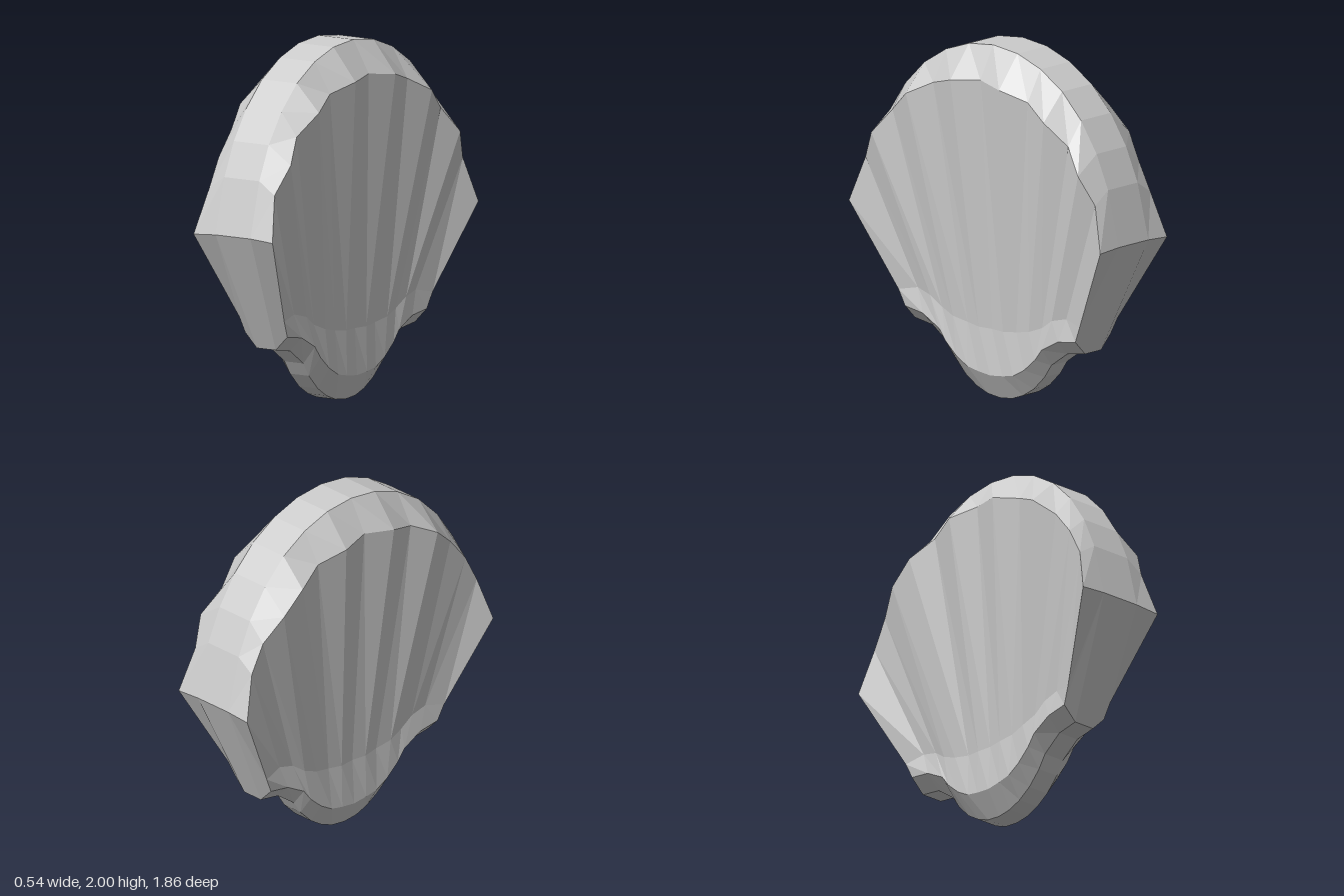
import * as THREE from 'three';

// Half of the fan, from the +z end to the middle; each row gives [z, y] of the
// outer rim, ribbed shoulder, lower band, hinge shoulder and hinge rim.
const HALF = [
  [[0.93, 1.01], [0.93, 1.0], [0.67, 0.52], [0.63, 0.43], [0.63, 0.35]],
  [[0.85, 1.32], [0.85, 1.25], [0.55, 0.545], [0.5, 0.41], [0.5, 0.33]],
  [[0.765, 1.51], [0.765, 1.41], [0.45, 0.52], [0.38, 0.345], [0.38, 0.245]],
  [[0.65, 1.68], [0.65, 1.55], [0.37, 0.465], [0.33, 0.28], [0.33, 0.17]],
  [[0.51, 1.82], [0.51, 1.67], [0.28, 0.43], [0.25, 0.21], [0.25, 0.09]],
  [[0.35, 1.92], [0.35, 1.75], [0.18, 0.41], [0.17, 0.165], [0.17, 0.04]],
  [[0.18, 1.98], [0.18, 1.8], [0.09, 0.4], [0.09, 0.15], [0.09, 0.01]],
  [[0, 2], [0, 1.82], [0, 0.4], [0, 0.14], [0, 0]],
];
const STATIONS = 15;

// Half thickness: the shoulder alternates between ridge and groove.
function halfWidth(station, k, side) {
  let ridge = station % 2 === 0;
  if (side < 0) {
    if (station === 2 || station === 12) ridge = false; // worn ribs on one side
    if (station === 11) ridge = true;
  }
  const end = station === 0 || station === STATIONS - 1;
  return [0.12, ridge ? 0.272 : 0.225, end ? 0.155 : ridge ? 0.14 : 0.13, 0.145, 0.065][k];
}

// Closed cross-section: down the +x side, then up the -x side.
function section(station) {
  const mirrored = station > 7;
  const row = HALF[mirrored ? 14 - station : station];
  const point = (k, side) => [
    side * halfWidth(station, k, side), row[k][1], mirrored ? -row[k][0] : row[k][0],
  ];
  return [0, 1, 2, 3, 4].map((k) => point(k, 1))
    .concat([4, 3, 2, 1, 0].map((k) => point(k, -1)));
}

function shellGeometry() {
  const loops = Array.from({ length: STATIONS }, (_, s) => section(s));
  const positions = [];
  const tri = (a, b, c) => positions.push(...a, ...b, ...c);

  // Skin between neighbouring sections
  for (let s = 0; s < STATIONS - 1; s++) {
    for (let k = 0; k < 10; k++) {
      const n = (k + 1) % 10;
      const a = loops[s][k], b = loops[s][n], c = loops[s + 1][n], d = loops[s + 1][k];
      tri(a, b, c);
      tri(a, c, d);
    }
  }

  // End faces: a centre strip with a bevelled strip on each side
  const cap = [[0, 9, 5], [0, 5, 4], [0, 4, 3], [0, 3, 2], [0, 2, 1],
    [9, 6, 5], [9, 7, 6], [9, 8, 7]];
  for (const [i, j, k] of cap) {
    const front = loops[0], back = loops[STATIONS - 1];
    tri(front[i], front[j], front[k]);
    tri(back[i], back[k], back[j]);
  }

  const geometry = new THREE.BufferGeometry();
  geometry.setAttribute('position', new THREE.Float32BufferAttribute(positions, 3));
  geometry.computeVertexNormals();
  return geometry;
}

export function createModel() {
  const model = new THREE.Group();
  model.name = 'scallopShell';
  const shell = new THREE.Mesh(
    shellGeometry(),
    new THREE.MeshStandardMaterial({ color: 0xcccccc, flatShading: true }),
  );
  shell.name = 'shell';
  model.add(shell);
  return model;
}
